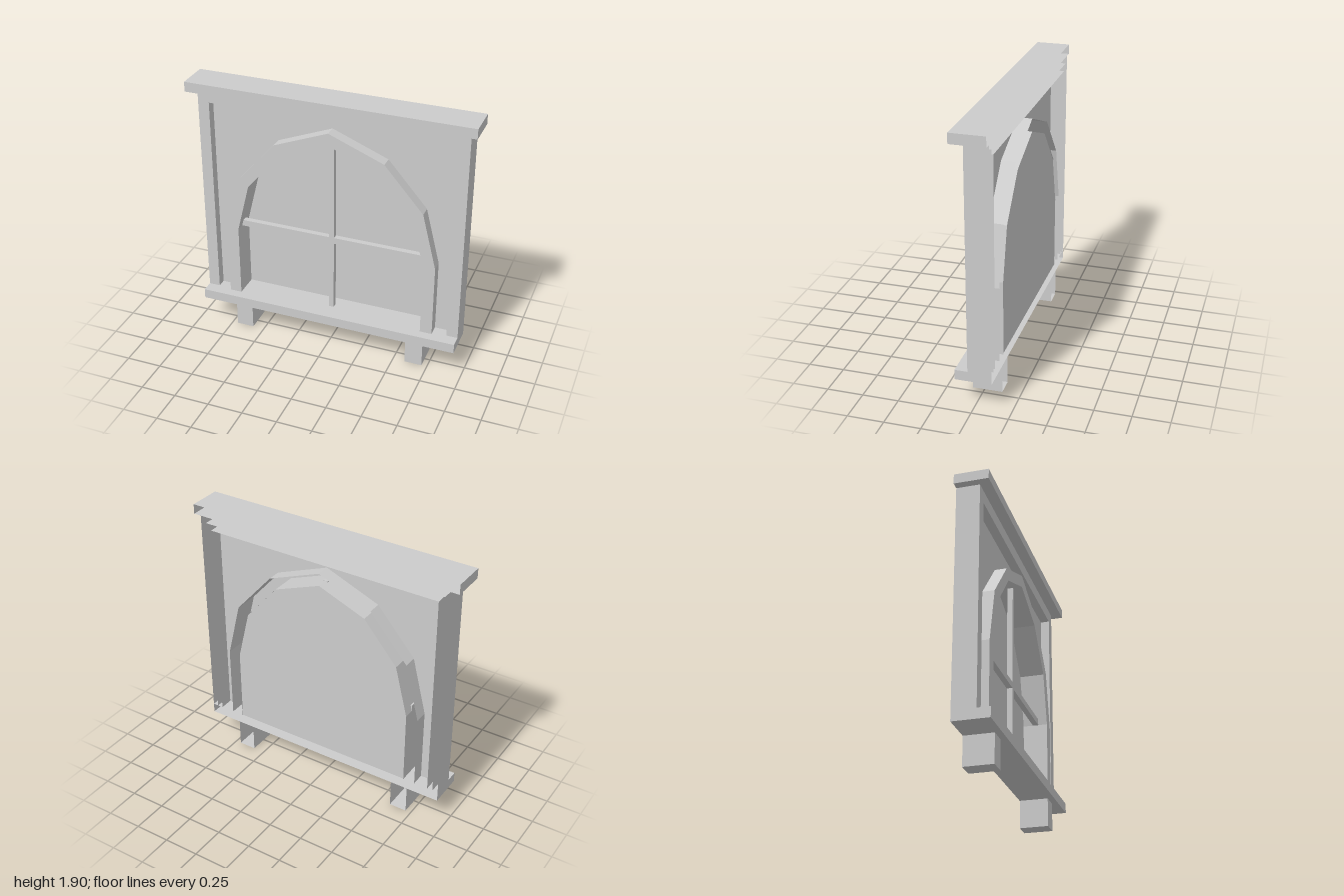
import * as THREE from 'three';

const BACK = -0.123, PANEL_Z = -0.026, FRAME_Z = 0.038, ARCH_Z = 0.058, SILL_Y = 0.27;

const gray = new THREE.MeshStandardMaterial({ color: 0xcccccc, side: THREE.DoubleSide });
gray.name = 'plain gray';

function add(parent, name, geometry) {
  const mesh = new THREE.Mesh(geometry, gray);
  mesh.name = name;
  parent.add(mesh);
  return mesh;
}

// Box given by its extents, with the back face left open
function openBox(x0, x1, y0, y1, z0, z1) {
  const g = new THREE.BoxGeometry(x1 - x0, y1 - y0, z1 - z0);
  g.setIndex(Array.from(g.index.array).slice(0, 30));
  g.clearGroups();
  return g.translate((x0 + x1) / 2, (y0 + y1) / 2, (z0 + z1) / 2);
}

// Strip of flat walls following an outline from z0 to z1
function wall(points, z0, z1) {
  const pos = [];
  for (let i = 0; i + 1 < points.length; i++) {
    const [ax, ay] = points[i], [bx, by] = points[i + 1];
    pos.push(ax, ay, z0, bx, by, z0, bx, by, z1, ax, ay, z0, bx, by, z1, ax, ay, z1);
  }
  const g = new THREE.BufferGeometry();
  g.setAttribute('position', new THREE.Float32BufferAttribute(pos, 3));
  g.computeVertexNormals();
  return g;
}

// Flat face bounded by an outer outline and, if given, an inner one; both stand on the sill
function face(outer, inner, z) {
  const pts = inner ? [...outer, ...[...inner].reverse()] : outer;
  const shape = new THREE.Shape(pts.map(([x, y]) => new THREE.Vector2(x, y)));
  return new THREE.ShapeGeometry(shape).translate(0, 0, z);
}

// Right half of an outline mirrored into a full one, ending at the top centre
const mirrored = (half) => [
  ...half,
  ...half.slice().reverse().filter(([x]) => x > 0).map(([x, y]) => [-x, y]),
];
const gate = (x, top) => mirrored([[x, SILL_Y], [x, top]]);

export function createModel() {
  const model = new THREE.Group();
  model.name = 'archedWindow';

  const archOuter = mirrored([[0.765, SILL_Y], [0.765, 0.8], [0.665, 1.2], [0.39, 1.515], [0, 1.67]]);
  const archInner = mirrored([[0.68, SILL_Y], [0.68, 0.8], [0.59, 1.16], [0.345, 1.445], [0, 1.58]]);
  const frameOuter = gate(0.945, 1.83);
  const frameInner = gate(0.865, 1.74);

  // Lintel, sill and feet
  add(model, 'lintel', openBox(-1, 1, 1.83, 1.9, BACK, 0.113));
  add(model, 'sill', openBox(-0.945, 0.945, 0.2, SILL_Y, BACK, 0.125));
  add(model, 'leftFoot', openBox(0.585, 0.71, 0, 0.2, BACK, 0.08));
  add(model, 'rightFoot', openBox(-0.71, -0.585, 0, 0.2, BACK, 0.08));

  // Outer frame, hollow behind, with a rib along its middle
  const frame = new THREE.Group();
  frame.name = 'outerFrame';
  add(frame, 'frameFront', face(frameOuter, frameInner, FRAME_Z));
  add(frame, 'frameOuterWall', wall(frameOuter, BACK, FRAME_Z));
  add(frame, 'frameRib', wall(gate(0.905, 1.785), BACK, FRAME_Z));
  add(frame, 'frameInnerWall', wall(frameInner, BACK, FRAME_Z));
  model.add(frame);

  // Recessed wall panel around the arch
  add(model, 'wallPanel', face(frameInner, archOuter, PANEL_Z));

  // Arch, hollow behind
  const arch = new THREE.Group();
  arch.name = 'arch';
  add(arch, 'archFront', face(archOuter, archInner, ARCH_Z));
  add(arch, 'archOuterWall', wall(archOuter, BACK, ARCH_Z));
  add(arch, 'archInnerWall', wall(archInner, BACK, ARCH_Z));
  model.add(arch);

  // Window pane and glazing bars
  add(model, 'pane', face(archInner, null, -0.118));
  add(model, 'uprightBar', new THREE.BoxGeometry(0.035, 1.31, 0.04)).position.set(0, 0.925, -0.025);
  add(model, 'crossBar', new THREE.BoxGeometry(1.36, 0.045, 0.04)).position.set(0, 0.822, -0.027);

  return model;
}
